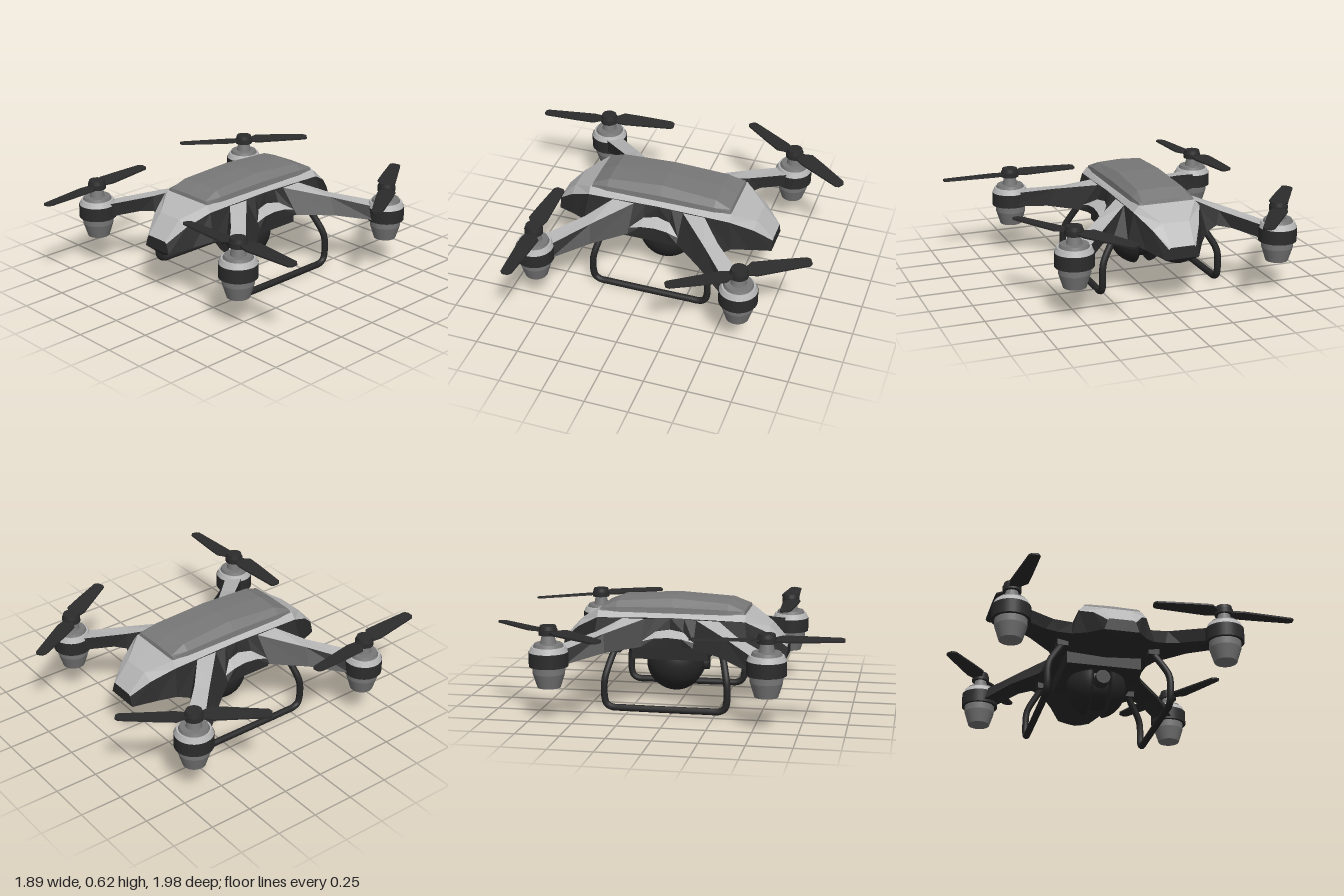
import * as THREE from 'three';

const mat = (name, color, flatShading = false) => {
  const m = new THREE.MeshStandardMaterial({ color, side: THREE.DoubleSide, flatShading });
  m.name = name;
  return m;
};

export function createModel() {
  const light = mat('lightGrey', 0xb8b8b8);
  const mid = mat('midGrey', 0x787878);
  const dark = mat('charcoal', 0x2c2c2c);
  const black = mat('nearBlack', 0x262626);

  const model = new THREE.Group();
  model.name = 'quadcopter';
  const drone = new THREE.Group();
  drone.name = 'airframe';
  drone.position.set(-0.08, 0, -0.035);
  model.add(drone);

  const add = (parent, name, geo, material, x = 0, y = 0, z = 0) => {
    const m = new THREE.Mesh(geo, material);
    m.name = name;
    m.position.set(x, y, z);
    parent.add(m);
    return m;
  };

  // Faceted surface from rows of points on one quarter, mirrored to all four
  const quarters = (name, rows, material) => {
    const pos = [];
    for (const sx of [1, -1]) for (const sz of [1, -1]) {
      const tri = (a, b, c) => {
        const order = sx * sz > 0 ? [a, b, c] : [a, c, b];
        for (const p of order) pos.push(p[0] * sx, p[1], p[2] * sz);
      };
      for (let i = 0; i + 1 < rows.length; i++) {
        for (let j = 0; j + 1 < rows[i].length; j++) {
          const a = rows[i][j], b = rows[i + 1][j], c = rows[i + 1][j + 1], d = rows[i][j + 1];
          tri(a, b, d);
          tri(b, c, d);
        }
      }
    }
    const g = new THREE.BufferGeometry();
    g.setAttribute('position', new THREE.Float32BufferAttribute(pos, 3));
    g.computeVertexNormals();
    add(drone, name, g, material);
  };

  // Hull edge lines: hood/arm top edges and the lower outline, front and waist side
  const topOuter = [[.08, .35, .66], [.14, .44, .56], [.2, .51, .43], [.2, .51, .28], [.335, .455, .40], [.525, .40, .60]];
  const lowOuter = [[.10, .29, .66], [.17, .32, .54], [.24, .35, .45], [.315, .37, .415], [.39, .36, .455], [.53, .32, .605]];
  const topInner = [[.2, .52, 0], [.2, .517, .08], [.2, .51, .15], [.40, .455, .345], [.58, .40, .515]];
  const lowInner = [[.28, .37, 0], [.285, .37, .08], [.315, .37, .15], [.46, .36, .325], [.61, .32, .51]];
  const ledgeIn = [[.212, .455, 0], [.23, .445, .08], [.292, .398, .15]];
  const ledgeOut = [[.28, .42, 0], [.285, .415, .08], [.292, .398, .15]];
  const spine = [[0, .25, .62], [0, .26, .54], [0, .28, .45], [0, .31, .36], [0, .34, .2], [0, .35, .08], [0, .35, 0]];

  quarters('hood', [
    [[0, .545, 0], [.17, .545, 0], [.2, .52, 0]],
    [[0, .545, .43], [.17, .545, .43], [.2, .51, .43]],
    [[0, .47, .56], [.08, .47, .56], [.14, .44, .56]],
    [[0, .36, .66], [.07, .36, .66], [.08, .35, .66]],
  ], light);
  quarters('armTopStrip', [topInner.slice(2), topOuter.slice(3)], light);
  quarters('outerFlank', [topOuter, lowOuter], dark);
  quarters('armInnerFlank', [lowInner.slice(2), topInner.slice(2)], dark);
  quarters('waistFlank', [ledgeIn, topInner.slice(0, 3)], dark);
  quarters('waistLedge', [ledgeOut, ledgeIn], light);
  quarters('waistWall', [lowInner.slice(0, 3), ledgeOut], dark);
  quarters('armUnderside', [lowOuter.slice(3), lowInner.slice(2)], dark);
  quarters('belly', [[...lowOuter.slice(0, 4), lowInner[2], lowInner[1], lowInner[0]], spine], dark);
  quarters('nose', [
    [[0, .36, .66], [.07, .36, .66], [.08, .35, .66]],
    [[0, .29, .66], [.07, .29, .66], [.10, .29, .66]],
    [[0, .25, .62], [.05, .265, .635], [.10, .29, .66]],
  ], dark);
  quarters('canopy', [
    [[0, .625, 0], [.125, .621, 0], [.17, .575, 0], [.175, .54, 0]],
    [[0, .607, .325], [.135, .6, .325], [.17, .568, .325], [.175, .54, .325]],
    [[0, .566, .42], [.145, .562, .42], [.163, .558, .42], [.17, .54, .42]],
    [[0, .54, .428], [.145, .54, .428], [.163, .54, .425], [.17, .54, .42]],
  ], mid);

  // Propeller blade: broad near the root, tapering to a clipped tip
  const blade = new THREE.Shape([[.02, .025], [.05, .035], [.09, .065], [.2, .055], [.40, .032], [.418, .015],
    [.415, -.02], [.40, -.033], [.1, -.042], [.05, -.03], [.02, -.025]].map(p => new THREE.Vector2(...p)));
  const bladeGeo = new THREE.ExtrudeGeometry(blade, { depth: 0.01, bevelEnabled: false });
  bladeGeo.translate(0, 0, -0.005).rotateX(-Math.PI / 2 + 0.1);

  const cyl = (rTop, rBottom, y0, y1) =>
    new THREE.CylinderGeometry(rTop, rBottom, y1 - y0, 32).translate(0, (y0 + y1) / 2, 0);

  // Motor pods with propellers: x side, z side, blade direction
  const pods = [
    ['Front left', 1, 1, 1, -0.02], ['Front right', -1, 1, .06, .42],
    ['Back left', 1, -1, .225, .345], ['Back right', -1, -1, .24, -.35],
  ];
  for (const [label, sx, sz, dx, dz] of pods) {
    const pod = new THREE.Group();
    pod.name = 'motorPod' + label.replace(' l', 'L').replace(' r', 'R');
    pod.position.set(0.61 * sx, 0, 0.605 * sz);
    drone.add(pod);
    add(pod, 'motorCone', cyl(.09, .065, .19, .27), mid);
    add(pod, 'motorCollar', cyl(.092, .09, .27, .315), mid);
    add(pod, 'motorBand', cyl(.11, .11, .31, .39), dark);
    add(pod, 'motorCap', cyl(.095, .108, .39, .42), light);
    add(pod, 'motorDisc', cyl(.078, .085, .42, .437), mid);
    add(pod, 'motorNeck', cyl(.035, .045, .437, .485), mid);
    add(pod, 'propellerHub', cyl(.053, .053, .485, .515), dark);
    add(pod, 'propellerNut', cyl(.045, .05, .515, .537), dark);
    const propeller = new THREE.Group();
    propeller.name = 'propeller';
    propeller.position.y = 0.503;
    propeller.rotation.y = Math.atan2(-dz, dx);
    pod.add(propeller);
    for (const turn of [0, Math.PI]) add(propeller, 'blade', bladeGeo, dark).rotation.y = turn;
  }

  // Landing skids: one bent tube per side with two mounting feet
  for (const s of [1, -1]) {
    const half = [[.265, .35, .305], [.29, .31, .32], [.345, .215, .345], [.356, .17, .352], [.357, .08, .352],
      [.357, .042, .34], [.357, .024, .31], [.357, .022, .24]];
    const path = [...half, ...half.map(([x, y, z]) => [x, y, -z]).reverse()]
      .map(([x, y, z]) => new THREE.Vector3(x * s, y, z));
    const curve = new THREE.CatmullRomCurve3(path, false, 'centripetal');
    add(drone, 'landingSkid', new THREE.TubeGeometry(curve, 90, 0.02, 10), black);
    for (const z of [.305, -.305]) {
      add(drone, 'skidFoot', new THREE.BoxGeometry(.065, .04, .065), dark, .268 * s, .35, z);
    }
  }

  // Camera: mount plate, split outer shell, inner ball and lens
  add(drone, 'cameraMount', new THREE.BoxGeometry(.44, .09, .44), dark, 0, .325, 0);
  const R = 0.175;
  const profile = [new THREE.Vector2(0, .05)];
  for (let i = 0; i <= 12; i++) {
    const a = THREE.MathUtils.lerp(Math.asin(.05 / R), Math.PI / 2, i / 12);
    profile.push(new THREE.Vector2(Math.max(0, R * Math.cos(a)), R * Math.sin(a)));
  }
  const shell = new THREE.LatheGeometry(profile, 40);
  for (const s of [1, -1]) add(drone, 'cameraShell', shell, black, 0, .23, 0).rotation.z = -s * Math.PI / 2;
  add(drone, 'cameraBall', new THREE.SphereGeometry(.13, 28, 20), black, 0, .23, 0);
  const tube = new THREE.CylinderGeometry(.042, .045, .1, 24).rotateX(Math.PI / 2);
  add(drone, 'lensBarrel', tube, dark, 0, .225, .145);
  add(drone, 'lensGlass', new THREE.CircleGeometry(.028, 24), black, 0, .225, .197);

  return model;
}
